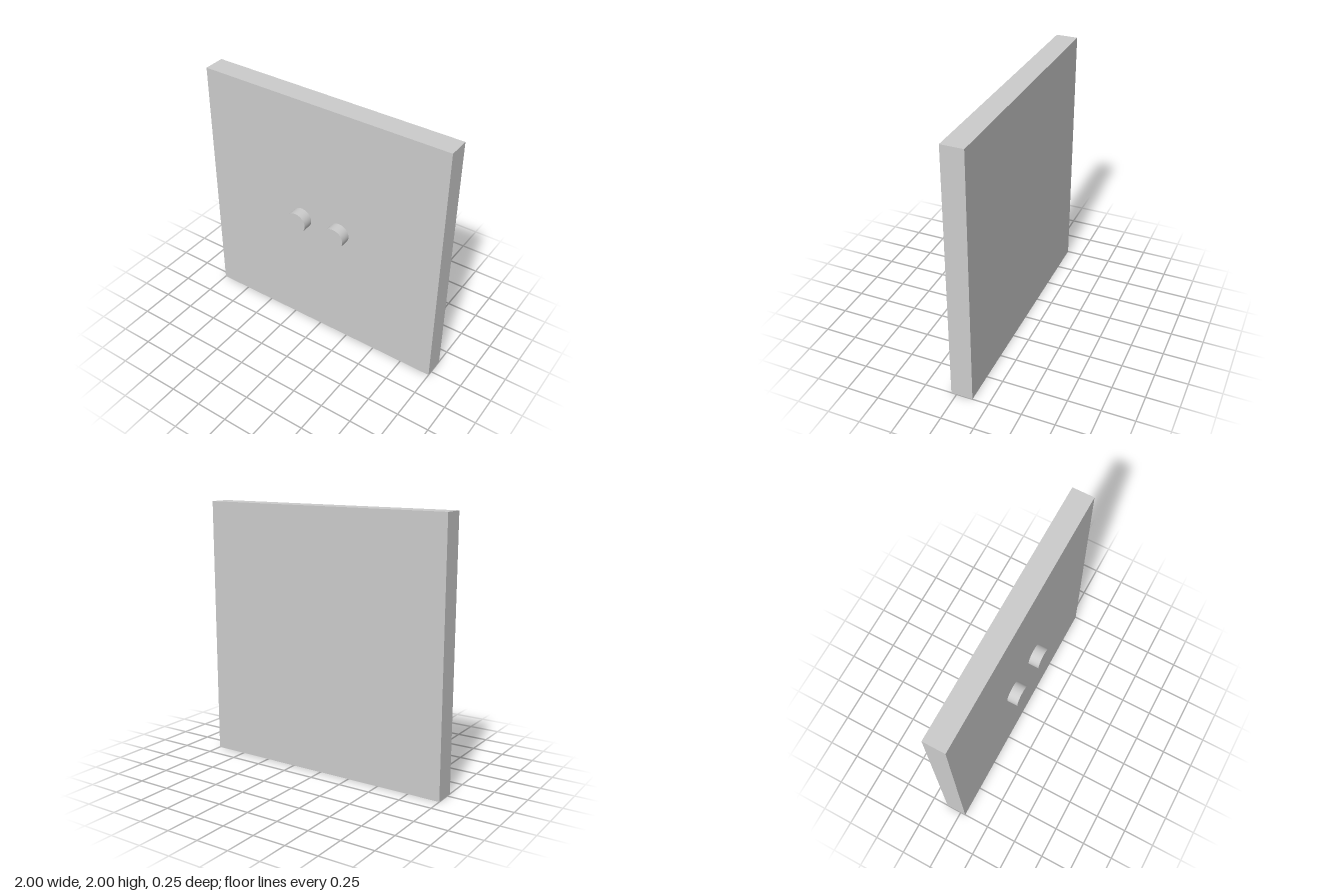
import * as THREE from 'three';

const material = new THREE.MeshStandardMaterial({ color: 0xcccccc });

export function createModel() {
  const model = new THREE.Group();
  const unit = 1 / 6; // panel thickness and knob diameter
  const panelFront = unit / 4;

  // Square panel
  const panel = new THREE.Mesh(new THREE.BoxGeometry(2, 2, unit), material);
  panel.name = 'panel';
  panel.position.set(0, 1, panelFront - unit / 2);
  model.add(panel);

  // Pair of round knobs on the front face
  const knobGeometry = new THREE.CylinderGeometry(unit / 2, unit / 2, unit / 2, 64);
  knobGeometry.rotateX(Math.PI / 2);
  for (const [name, side] of [['leftKnob', 1], ['rightKnob', -1]]) {
    const knob = new THREE.Mesh(knobGeometry, material);
    knob.name = name;
    knob.position.set(side * unit, 1, panelFront + unit / 4);
    model.add(knob);
  }

  return model;
}
